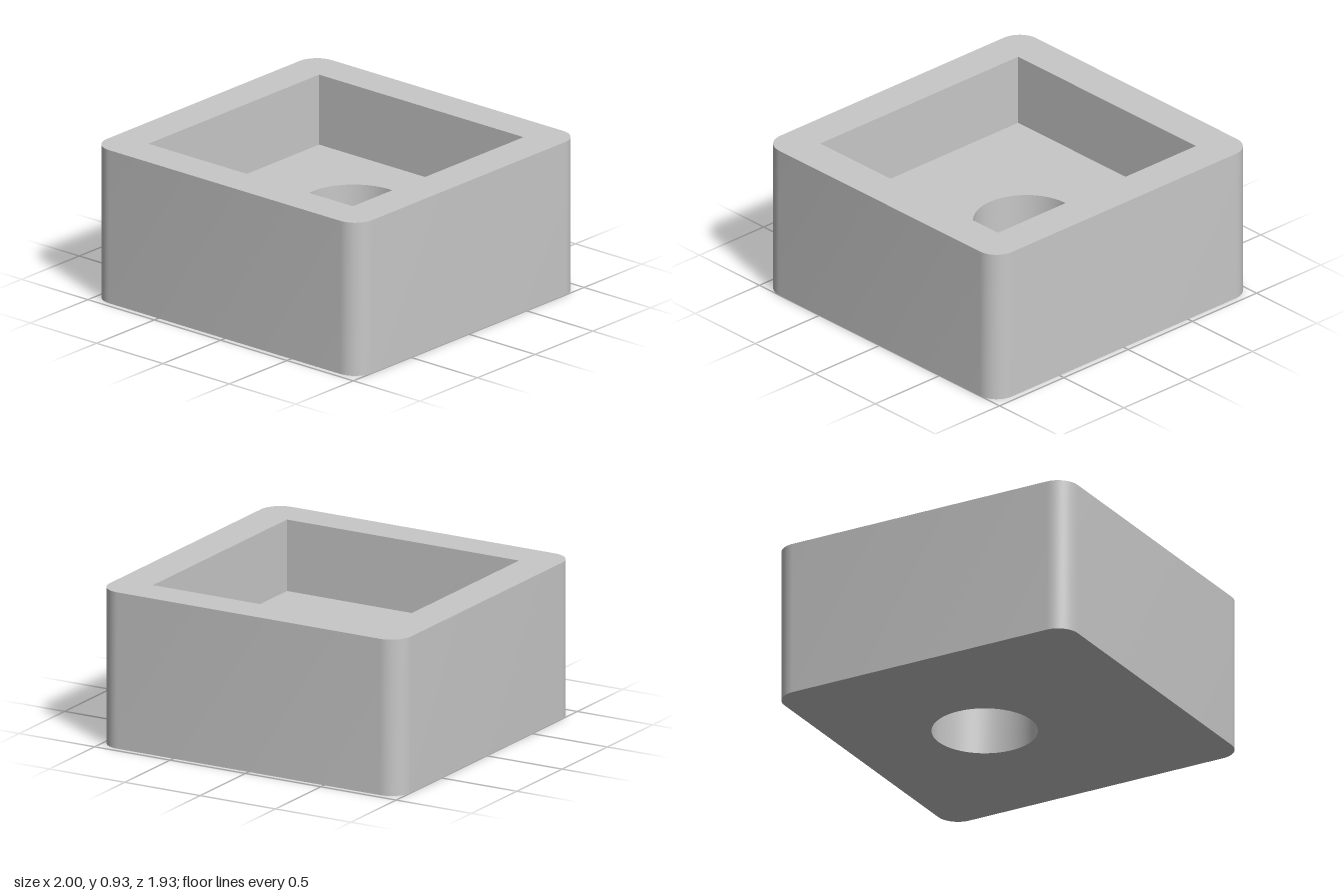
import * as THREE from 'three';
import { toCreasedNormals } from 'three/addons/utils/BufferGeometryUtils.js';

const HALF_X = 1, HALF_Z = 0.965, HEIGHT = 0.93, FLOOR = 0.505, CORNER = 0.13;
const POCKET_X = 0.77, POCKET_Z = 0.74;
const BORE_R = 0.303, BORE_Z = -0.153;

// Counter-clockwise outlines in plan; plan y is -z
function blockOutline() {
  const pts = [], steps = 12;
  [[1, 1], [-1, 1], [-1, -1], [1, -1]].forEach(([sx, sy], q) => {
    for (let i = 0; i <= steps; i++) {
      const a = (q + i / steps) * Math.PI / 2;
      pts.push(new THREE.Vector2(
        sx * (HALF_X - CORNER) + CORNER * Math.cos(a),
        sy * (HALF_Z - CORNER) + CORNER * Math.sin(a)));
    }
  });
  return pts;
}

function pocketOutline() {
  return [[1, 1], [-1, 1], [-1, -1], [1, -1]].map(([x, y]) => new THREE.Vector2(x * POCKET_X, y * POCKET_Z));
}

function boreOutline() {
  return Array.from({ length: 64 }, (_, i) => {
    const a = i / 64 * Math.PI * 2;
    return new THREE.Vector2(BORE_R * Math.cos(a), BORE_R * Math.sin(a) - BORE_Z);
  });
}

// Upright wall along a closed outline, facing outward unless inward is set
function wall(outline, y0, y1, inward = false) {
  const pts = inward ? [...outline].reverse() : outline;
  const pos = [];
  pts.forEach((a, i) => {
    const b = pts[(i + 1) % pts.length];
    pos.push(a.x, y0, -a.y, b.x, y0, -b.y, b.x, y1, -b.y);
    pos.push(a.x, y0, -a.y, b.x, y1, -b.y, a.x, y1, -a.y);
  });
  const g = new THREE.BufferGeometry();
  g.setAttribute('position', new THREE.Float32BufferAttribute(pos, 3));
  return toCreasedNormals(g, Math.PI / 6);
}

// Level face with a cut-out, facing up or down
function face(outline, cutout, y, up = true) {
  const side = up ? 1 : -1;
  const flip = pts => pts.map(p => new THREE.Vector2(p.x, p.y * side));
  const shape = new THREE.Shape(flip(outline));
  shape.holes.push(new THREE.Path(flip(cutout)));
  return new THREE.ShapeGeometry(shape).rotateX(-side * Math.PI / 2).translate(0, y, 0);
}

export function createModel() {
  const model = new THREE.Group();
  model.name = 'pocketedBlock';
  const grey = new THREE.MeshStandardMaterial({ color: 0xc8c8c8 });
  grey.name = 'light grey';

  const block = blockOutline(), pocket = pocketOutline(), bore = boreOutline();
  const parts = {
    outerWall: wall(block, 0, HEIGHT),
    rim: face(block, pocket, HEIGHT),
    pocketWall: wall(pocket, FLOOR, HEIGHT, true),
    pocketFloor: face(pocket, bore, FLOOR),
    boreWall: wall(bore, 0, FLOOR, true),
    underside: face(block, bore, 0, false),
  };
  for (const [name, geometry] of Object.entries(parts)) {
    const mesh = new THREE.Mesh(geometry, grey);
    mesh.name = name;
    model.add(mesh);
  }
  return model;
}
